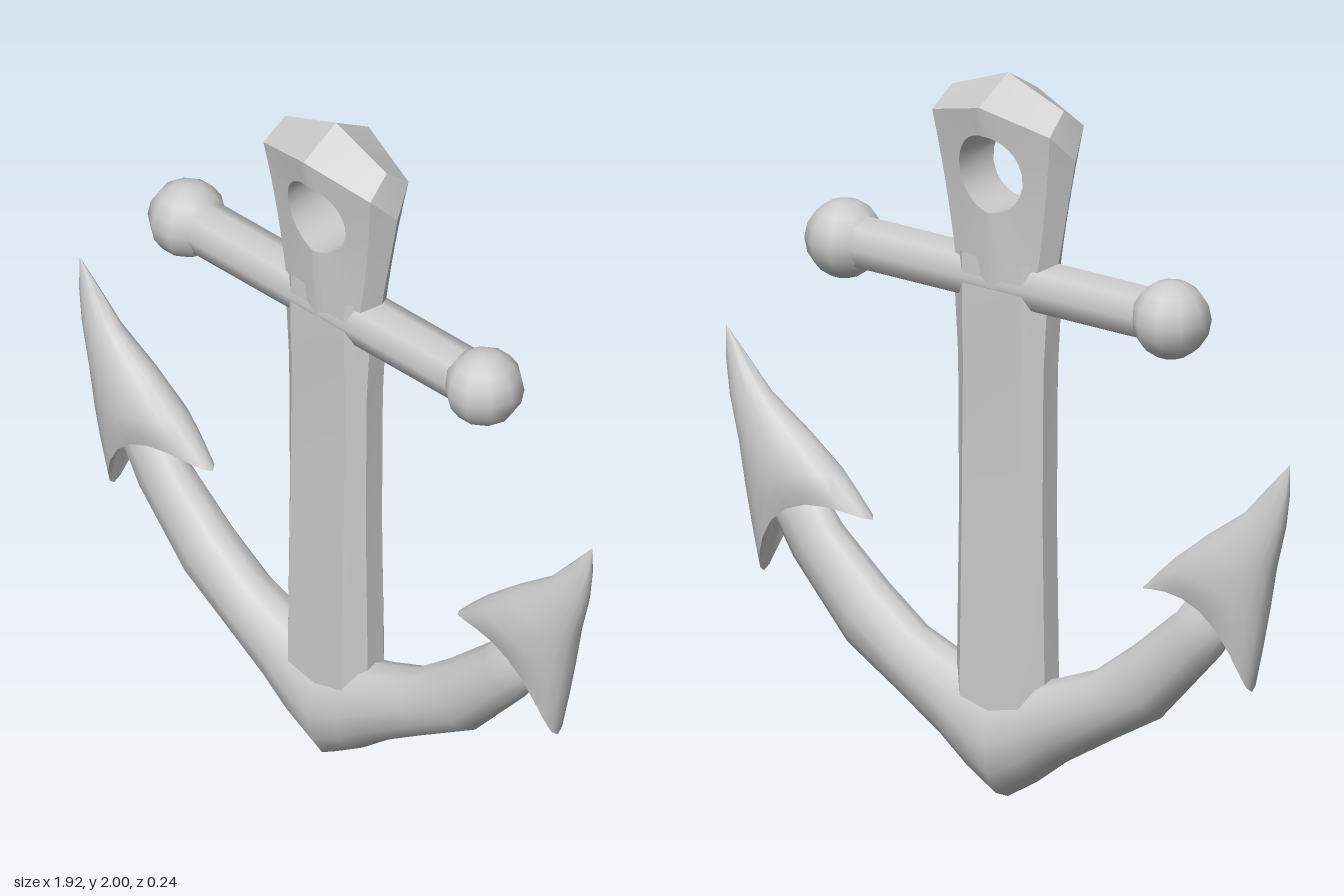
import * as THREE from 'three';
import { toCreasedNormals } from 'three/addons/utils/BufferGeometryUtils.js';

const material = new THREE.MeshStandardMaterial({ color: 0xcccccc });

function addMesh(parent, name, geometry) {
  const mesh = new THREE.Mesh(geometry, material);
  mesh.name = name;
  parent.add(mesh);
  return mesh;
}

// Skin a list of equal-length closed rings, each counterclockwise about the direction of travel
function loft(rings, crease) {
  const n = rings[0].length, index = [];
  for (let i = 0; i < rings.length - 1; i++) {
    for (let j = 0; j < n; j++) {
      const k = (j + 1) % n;
      const a = i * n + j, b = i * n + k, c = b + n, d = a + n;
      index.push(a, b, c, a, c, d);
    }
  }
  const g = new THREE.BufferGeometry();
  g.setAttribute('position', new THREE.Float32BufferAttribute(rings.flat(2), 3));
  g.setIndex(index);
  if (crease) return toCreasedNormals(g, crease);
  g.computeVertexNormals();
  return g;
}

// Ellipse from edge point A to edge point B, half depth d, its middle bowed by (bx, by)
function ring([ax, ay, bx, by, d, bowX = 0, bowY = 0], n = 16) {
  return Array.from({ length: n }, (_, j) => {
    const a = (j / n) * Math.PI * 2, c = Math.cos(a), s = Math.sin(a);
    return [
      (ax + bx) / 2 + (c * (ax - bx)) / 2 + bowX * s * s,
      (ay + by) / 2 + (c * (ay - by)) / 2 + bowY * s * s,
      d * s,
    ];
  });
}

// Faceted head with a round eye, swept around the eye
function headGeometry() {
  const eyeY = 1.74, eyeR = 0.108, steps = 8;
  const ridgeHalf = [[0, 2], [0.19, 1.93], [0.23, 1.8], [0.155, 1.42]];
  const faceHalf = [[0, 1.93], [0.2, 1.875], [0.2, 1.875], [0.13, 1.42]];
  const outline = (half) => [...half, ...half.slice(1).reverse().map(([x, y]) => [-x, y]), half[0]];
  const ridge = outline(ridgeHalf), face = outline(faceHalf);
  const depth = (x, y) => 0.075 + 0.045 * ((y - 1.42) / 0.51) ** 2 - 0.2 * Math.abs(x);
  const mix = (p, q, t) => [p[0] + (q[0] - p[0]) * t, p[1] + (q[1] - p[1]) * t];
  const rings = [];
  for (let e = 0; e < ridge.length - 1; e++) {
    for (let s = 0; s < steps; s++) {
      const t = s / steps;
      const [rx, ry] = mix(ridge[e], ridge[e + 1], t);
      const [fx, fy] = mix(face[e], face[e + 1], t);
      const a = Math.atan2(fy - eyeY, fx);
      const hx = eyeR * Math.cos(a), hy = eyeY + eyeR * Math.sin(a);
      const fz = depth(fx, fy), hz = depth(hx, hy);
      rings.push([[rx, ry, 0], [fx, fy, fz], [hx, hy, hz], [hx, hy, -hz], [fx, fy, -fz]]);
    }
  }
  rings.push(rings[0]);
  return loft(rings, 0.6);
}

// Chamfered upright: height, half width, half depth
function shankGeometry() {
  const sections = [
    [0.22, 0.15, 0.08], [0.4, 0.148, 0.078], [0.8, 0.142, 0.07],
    [1.2, 0.145, 0.065], [1.36, 0.155, 0.07], [1.5, 0.152, 0.068],
  ];
  return loft(sections.map(([y, w, d]) => [
    [0.1, d], [w, 0.03], [w, -0.03], [0.1, -d],
    [-0.1, -d], [-w, -0.03], [-w, 0.03], [-0.1, d],
  ].map(([x, z]) => [x, y, z])), 0.6);
}

// Curved arms: upper edge x, y, lower edge x, y, half depth
function armsGeometry() {
  const right = [
    [0.09, 0.335, 0.1, 0.06, 0.1],
    [0.17, 0.36, 0.2, 0.135, 0.092],
    [0.3, 0.41, 0.36, 0.23, 0.082],
    [0.43, 0.505, 0.52, 0.32, 0.078],
    [0.58, 0.63, 0.71, 0.52, 0.068],
    [0.65, 0.72, 0.78, 0.62, 0.058],
    [0.73, 0.7, 0.73, 0.7, 0],
  ];
  const left = right.map(([a, b, c, d, e]) => [-a, b, -c, d, e]).reverse();
  return loft([...left, [0, 0.32, 0, 0, 0.103], ...right].map((s) => ring(s, 12)));
}

// Barbed point with a hollow underside, from tip to rim and back inside
function flukeGeometry() {
  const sections = [
    [0.96, 1.11, 0.96, 1.11, 0],
    [0.955, 1.02, 0.885, 1.03, 0.022],
    [0.94, 0.93, 0.81, 0.95, 0.04],
    [0.905, 0.81, 0.68, 0.86, 0.067],
    [0.88, 0.69, 0.57, 0.775, 0.082, 0.01, 0.02],
    [0.855, 0.57, 0.51, 0.72, 0.076, 0.035, 0.06],
    [0.83, 0.455, 0.46, 0.67, 0.064, 0.06, 0.104],
    [0.75, 0.75, 0.75, 0.75, 0],
  ];
  return loft(sections.map((s) => ring(s, 20)), 0.9);
}

export function createModel() {
  const model = new THREE.Group();
  model.name = 'anchor';

  addMesh(model, 'head', headGeometry());
  addMesh(model, 'shank', shankGeometry());
  addMesh(model, 'arms', armsGeometry());

  // Crossbar with a ball on each end
  const bar = addMesh(model, 'crossbar', new THREE.CylinderGeometry(0.075, 0.075, 1.06, 8));
  bar.rotation.z = Math.PI / 2;
  bar.position.y = 1.43;

  // Paired ends, the right one turned half round
  for (const side of ['left', 'right']) {
    const end = new THREE.Group();
    end.name = side + 'End';
    end.rotation.y = side === 'left' ? 0 : Math.PI;
    const ball = addMesh(end, side + 'Ball', new THREE.SphereGeometry(0.107, 10, 8));
    ball.position.set(0.555, 1.43, 0);
    addMesh(end, side + 'Fluke', flukeGeometry());
    model.add(end);
  }
  return model;
}
